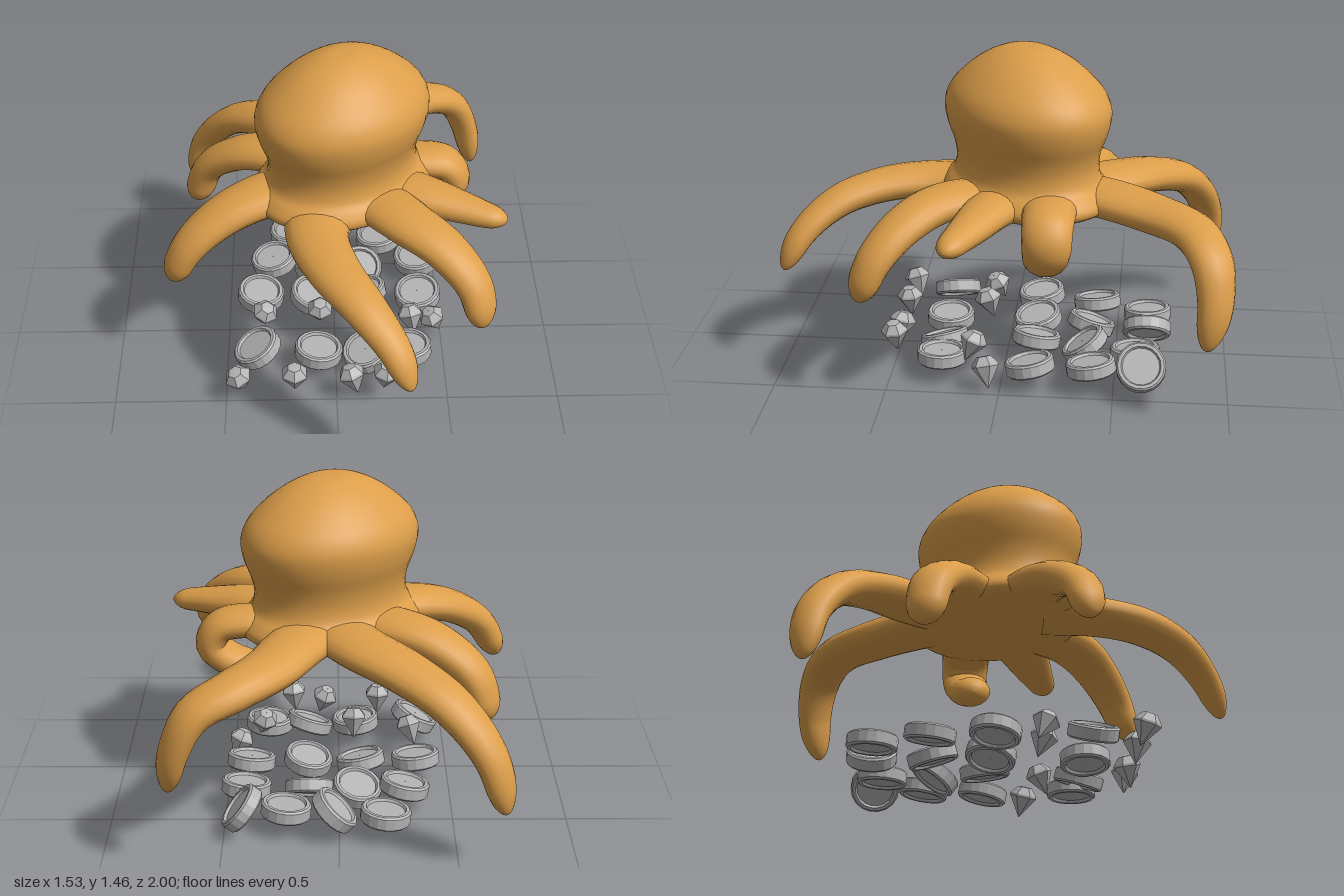
import * as THREE from 'three';

const skin = new THREE.MeshStandardMaterial({ color: 0xdc9e4a });
skin.name = 'orange skin';
const metal = new THREE.MeshStandardMaterial({ color: 0xb4b4b4 });
metal.name = 'grey treasure';

const v2 = ([x, y]) => new THREE.Vector2(x, y);

// Faceted solid of revolution, profile listed from bottom to top
function facetedLathe(points, sides) {
  const g = new THREE.LatheGeometry(points.map(v2), sides).toNonIndexed();
  g.computeVertexNormals();
  return g;
}

// Tapered, slightly flattened arm swept along a smooth path with a rounded tip
function armGeometry(points, baseWidth, tipWidth) {
  const rings = 40, sides = 18, pos = [], index = [];
  const curve = new THREE.CatmullRomCurve3(points.map(p => new THREE.Vector3(...p)));
  const side = new THREE.Vector3();
  for (let i = 0; i <= rings; i++) {
    // Rings crowd together towards the tip
    const t = 1 - (1 - i / rings) ** 1.5;
    const p = curve.getPointAt(t), dir = curve.getTangentAt(t);
    if (i === 0) side.crossVectors(dir, new THREE.Vector3(0, 1, 0));
    side.addScaledVector(dir, -side.dot(dir)).normalize();
    const up = new THREE.Vector3().crossVectors(dir, side);
    const cap = t > 0.88 ? Math.sqrt(Math.max(0, 1 - ((t - 0.88) / 0.12) ** 2)) : 1;
    const w = THREE.MathUtils.lerp(baseWidth, tipWidth, t ** 1.3) * cap;
    const h = w * THREE.MathUtils.lerp(0.48, 0.8, t);
    for (let j = 0; j < sides; j++) {
      const a = (j / sides) * Math.PI * 2;
      const q = p.clone().addScaledVector(side, w * Math.cos(a)).addScaledVector(up, h * Math.sin(a));
      pos.push(q.x, q.y, q.z);
      if (i < rings) {
        const A = i * sides + j, B = i * sides + (j + 1) % sides;
        index.push(A, B, A + sides, B, B + sides, A + sides);
      }
    }
  }
  const g = new THREE.BufferGeometry();
  g.setAttribute('position', new THREE.Float32BufferAttribute(pos, 3));
  g.setIndex(index);
  g.computeVertexNormals();
  return g;
}

export function createModel() {
  const model = new THREE.Group();
  const add = (parent, name, geometry, material) => {
    const mesh = new THREE.Mesh(geometry, material);
    mesh.name = name;
    parent.add(mesh);
    return mesh;
  };

  // Domed head, neck and skirt in one oval lathe
  const profile = new THREE.SplineCurve([
    [0.001, 0.725], [0.4, 0.73], [0.8, 0.745], [1.0, 0.775], [1.04, 0.81], [0.98, 0.85],
    [0.89, 0.89], [0.86, 0.95], [0.89, 1.02], [0.965, 1.1], [1, 1.17], [0.98, 1.225],
    [0.89, 1.285], [0.7, 1.355], [0.5, 1.408], [0.3, 1.443], [0.15, 1.456], [0.001, 1.458],
  ].map(v2));
  const head = add(model, 'head', new THREE.LatheGeometry(profile.getPoints(68), 40), skin);
  head.scale.set(0.42, 1, 0.337);
  head.rotation.y = 0.7;
  head.position.set(0.037, 0, -0.087);

  // Eight arms
  const arms = new THREE.Group();
  arms.name = 'arms';
  model.add(arms);
  const armPaths = {
    backRightArm: [0.15, 0.065, [[0.02, 0.81, -0.28], [-0.09, 0.81, -0.48], [-0.28, 0.77, -0.65],
      [-0.47, 0.68, -0.8], [-0.62, 0.5, -0.9], [-0.69, 0.26, -0.93]]],
    backLeftArm: [0.155, 0.06, [[0.08, 0.81, -0.28], [0.19, 0.81, -0.48], [0.29, 0.79, -0.66],
      [0.43, 0.77, -0.82], [0.59, 0.7, -0.9], [0.67, 0.55, -0.92], [0.71, 0.35, -0.89]]],
    curledArm: [0.125, 0.085, [[0.2, 0.81, -0.2], [0.4, 0.825, -0.21], [0.52, 0.8, -0.21],
      [0.56, 0.72, -0.21], [0.49, 0.645, -0.2], [0.32, 0.57, -0.18]]],
    leftArm: [0.145, 0.05, [[0.18, 0.81, -0.05], [0.38, 0.81, 0.05], [0.55, 0.79, 0.12],
      [0.67, 0.775, 0.17], [0.76, 0.765, 0.2]]],
    frontLeftArm: [0.145, 0.07, [[0.15, 0.81, 0.05], [0.31, 0.815, 0.27], [0.47, 0.765, 0.41],
      [0.59, 0.65, 0.52], [0.63, 0.48, 0.59]]],
    frontArm: [0.15, 0.055, [[-0.07, 0.79, 0.1], [-0.08, 0.785, 0.35], [-0.01, 0.775, 0.57],
      [0.11, 0.73, 0.76], [0.23, 0.62, 0.9], [0.3, 0.47, 0.98]]],
    frontRightArm: [0.15, 0.07, [[-0.12, 0.81, -0.03], [-0.32, 0.81, 0.05], [-0.5, 0.76, 0.13],
      [-0.65, 0.65, 0.2], [-0.74, 0.48, 0.22]]],
    rightArm: [0.14, 0.08, [[-0.1, 0.81, -0.17], [-0.25, 0.82, -0.27], [-0.42, 0.78, -0.35],
      [-0.58, 0.66, -0.42], [-0.65, 0.46, -0.45]]],
  };
  for (const [name, [base, tip, path]] of Object.entries(armPaths))
    add(arms, name, armGeometry(path, base, tip), skin);

  // Coins with raised rims: position, then tilt about x and z
  const coins = new THREE.Group();
  coins.name = 'coins';
  model.add(coins);
  const coinGeometry = facetedLathe([
    [0.001, -0.02], [0.082, -0.02], [0.088, -0.032], [0.102, -0.032], [0.11, -0.024],
    [0.11, 0.024], [0.102, 0.032], [0.088, 0.032], [0.082, 0.02], [0.001, 0.02],
  ], 18);
  [
    [-0.2, 0.11, -0.64, 0.05, 0.1], [0.02, 0.13, -0.64, 0, 0.75], [0.42, 0.13, -0.62, 0, -0.9],
    [0.23, 0.11, -0.59, 0.05, 0.1],
    [-0.29, 0.12, -0.4, 0.1, 0.2], [0.13, 0.09, -0.36, 0.6, 0], [0.41, 0.12, -0.4, 0.15, 0.1],
    [-0.08, 0.1, -0.38, -0.3, 0.2],
    [-0.35, 0.12, -0.13, 0.15, -0.1], [-0.1, 0.11, -0.13, 0.2, -0.2], [0.14, 0.12, -0.14, -0.15, 0.2],
    [0.4, 0.11, -0.13, 0.2, 0.1],
    [-0.36, 0.13, 0.28, 0.1, 0.5], [-0.08, 0.11, 0.28, 0, -0.1], [0.14, 0.1, 0.28, 0.25, 0.3],
    [0.33, 0.11, 0.27, 0, 0.05],
  ].forEach(([x, y, z, rx, rz], i) => {
    const coin = add(coins, 'coin' + (i + 1), coinGeometry, metal);
    coin.position.set(x, y - 0.01, z);
    coin.rotation.set(rx, 0, rz);
  });

  // Cut gems: position, then tilt about x and z
  const gems = new THREE.Group();
  gems.name = 'gems';
  model.add(gems);
  const gemGeometry = facetedLathe(
    [[0.001, -0.085], [0.062, 0.012], [0.06, 0.022], [0.032, 0.056], [0.001, 0.058]], 6);
  [
    [-0.44, 0.12, 0.49, 0.3, 0.3], [-0.19, 0.13, 0.49, 0.1, 0], [0.07, 0.12, 0.49, -0.2, 0.3],
    [0.22, 0.14, 0.5, 0.1, -0.1], [-0.07, 0.19, 0.1, 0.3, 0], [0.35, 0.17, 0.13, -0.4, 0.2],
    [-0.33, 0.16, 0.08, 0.4, -0.3], [0.46, 0.1, 0.06, 0.2, 0.4],
  ].forEach(([x, y, z, rx, rz], i) => {
    const gem = add(gems, 'gem' + (i + 1), gemGeometry, metal);
    gem.position.set(x, y, z);
    gem.rotation.set(rx, 0, rz);
  });

  return model;
}
